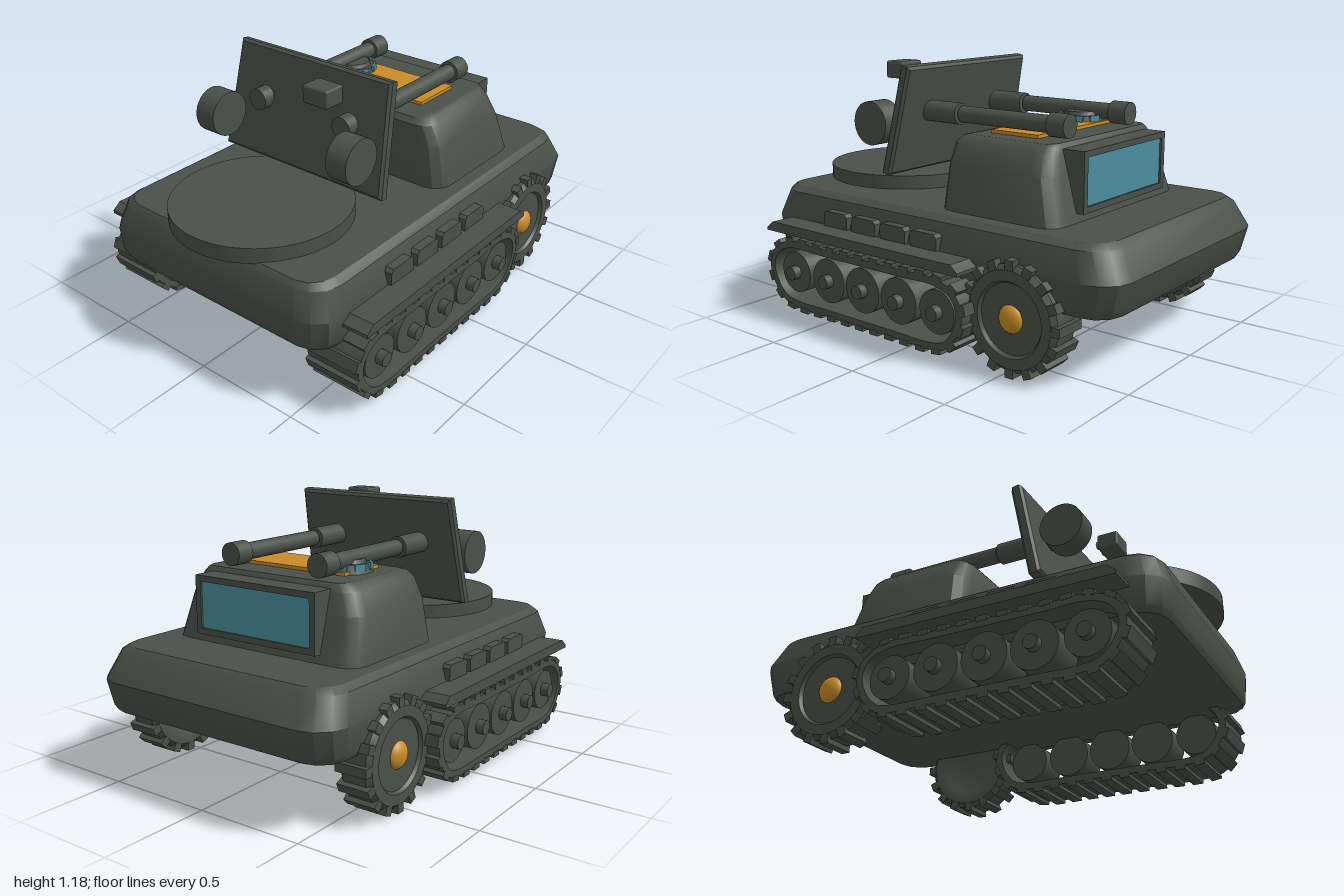
import * as THREE from 'three';
import { toCreasedNormals } from 'three/addons/utils/BufferGeometryUtils.js';
import { RoundedBoxGeometry } from 'three/addons/geometries/RoundedBoxGeometry.js';

export function createModel() {
  const model = new THREE.Group();
  const paint = (name, color) => {
    const m = new THREE.MeshStandardMaterial({ color });
    m.name = name;
    return m;
  };
  const armour = paint('dark armour', 0x4a5049);
  const amber = paint('amber', 0xc88c26);
  const glass = paint('blue glass', 0x4a8f9f);

  const add = (name, geo, mat, x = 0, y = 0, z = 0, parent = model) => {
    const mesh = new THREE.Mesh(geo, mat);
    mesh.name = name;
    mesh.position.set(x, y, z);
    parent.add(mesh);
    return mesh;
  };
  const box = (w, h, d) => new THREE.BoxGeometry(w, h, d);
  const cylX = (r, len, seg = 24) => new THREE.CylinderGeometry(r, r, len, seg).rotateZ(Math.PI / 2);
  const cylZ = (r, len, seg = 24) => new THREE.CylinderGeometry(r, r, len, seg).rotateX(Math.PI / 2);

  // Solid through stacked rounded rectangles: [y, halfWidth, zBack, zFront, cornerRadius]
  const loft = (sections, steps = 3) => {
    const pos = [], index = [], n = 4 * (steps + 1);
    for (const [y, hx, z0, z1, r] of sections) {
      [[hx - r, z1 - r], [r - hx, z1 - r], [r - hx, z0 + r], [hx - r, z0 + r]].forEach(([cx, cz], q) => {
        for (let i = 0; i <= steps; i++) {
          const a = (q + i / steps) * Math.PI / 2;
          pos.push(cx + r * Math.cos(a), y, cz + r * Math.sin(a));
        }
      });
    }
    const last = sections.length - 1;
    for (let s = 0; s < last; s++) {
      for (let i = 0; i < n; i++) {
        const a = s * n + i, b = s * n + (i + 1) % n;
        index.push(a, a + n, b, b, a + n, b + n);
      }
    }
    for (let i = 1; i < n - 1; i++) {
      index.push(0, i, i + 1);
      index.push(last * n, last * n + i + 1, last * n + i);
    }
    const g = new THREE.BufferGeometry();
    g.setAttribute('position', new THREE.Float32BufferAttribute(pos, 3));
    g.setIndex(index);
    return toCreasedNormals(g, 0.5);
  };

  // Hull, cabin and front turntable
  add('hull', loft([
    [0.305, 0.605, -0.955, 0.93, 0.12], [0.33, 0.62, -0.97, 0.945, 0.13],
    [0.45, 0.633, -1.0, 0.957, 0.14], [0.565, 0.595, -0.935, 0.92, 0.13],
    [0.588, 0.56, -0.905, 0.9, 0.11],
  ]), armour);
  add('cabin', loft([
    [0.58, 0.5, -0.64, -0.012, 0.09], [0.78, 0.465, -0.585, -0.018, 0.09],
    [0.87, 0.42, -0.56, -0.024, 0.08], [0.895, 0.395, -0.55, -0.045, 0.07],
    [0.905, 0.375, -0.54, -0.09, 0.05],
  ]), armour);
  add('turntable', new THREE.CylinderGeometry(0.4, 0.4, 0.07, 64), armour, 0, 0.617, 0.6);

  // Rear window
  const rect = (P, w, h) => new P([[-w, -h], [w, -h], [w, h], [-w, h]].map(p => new THREE.Vector2(...p)));
  const frame = rect(THREE.Shape, 0.325, 0.13);
  frame.holes.push(rect(THREE.Path, 0.297, 0.103));
  add('windowFrame', new THREE.ExtrudeGeometry(frame, { depth: 0.105, bevelEnabled: false }), armour, 0, 0.755, -0.663);
  add('windowGlass', box(0.6, 0.21, 0.008), glass, 0, 0.755, -0.65);

  // Roof panel and hatch with vision blocks
  add('roofPanel', box(0.57, 0.02, 0.25), amber, 0.003, 0.91, -0.278);
  const hatch = new THREE.Group();
  hatch.name = 'hatch';
  hatch.position.set(-0.212, 0.9, -0.288);
  model.add(hatch);
  add('hatchBase', new THREE.CylinderGeometry(0.1, 0.116, 0.045, 12), armour, 0, 0.022, 0, hatch);
  add('hatchLid', new THREE.CylinderGeometry(0.075, 0.085, 0.02, 12), armour, 0, 0.052, 0, hatch);
  for (let i = 0; i < 8; i++) {
    const a = i * Math.PI / 4 + 0.39;
    const block = add('visionBlock', box(0.05, 0.03, 0.012), glass, Math.sin(a) * 0.103, 0.033, Math.cos(a) * 0.103, hatch);
    block.rotation.y = a;
  }

  // Sloping gun shield
  const plate = new THREE.Shape([[-0.44, -0.24], [0.44, -0.24], [0.41, 0.24], [-0.41, 0.24]].map(p => new THREE.Vector2(...p)));
  const shieldGeo = new THREE.ExtrudeGeometry(plate, { depth: 0.032, bevelSize: 0.012, bevelThickness: 0.012, bevelSegments: 1 });
  add('gunShield', shieldGeo.translate(0, 0, -0.016), armour, 0, 0.932, 0.284).rotation.x = -0.21;

  // Sight with two lenses
  add('sight', new RoundedBoxGeometry(0.132, 0.08, 0.105, 2, 0.01), armour, 0.211, 1.14, 0.438);
  for (const dx of [-0.032, 0.032]) add('sightLens', cylZ(0.02, 0.016, 16), glass, 0.211 + dx, 1.14, 0.38);

  // Track outline as (z, y)
  const trackCurve = new THREE.CatmullRomCurve3([
    [0.7, 0.365], [0.8, 0.325], [0.848, 0.24], [0.82, 0.14], [0.75, 0.07], [0.66, 0.05], [0.45, 0.05],
    [0.03, 0.05], [-0.17, 0.05], [-0.26, 0.07], [-0.325, 0.14], [-0.352, 0.24], [-0.31, 0.325],
    [-0.21, 0.365], [0, 0.365], [0.5, 0.365],
  ].map(([z, y]) => new THREE.Vector3(0, y, z)), true);
  // Outward normal along the clockwise loop
  const outward = t => {
    const d = trackCurve.getTangentAt(t);
    return new THREE.Vector3(0, -d.z, d.y).multiplyScalar(-1);
  };
  const beltLine = inset => Array.from({ length: 72 }, (_, i) => {
    const p = trackCurve.getPointAt(i / 72).addScaledVector(outward(i / 72), -inset);
    return new THREE.Vector2(-p.z, p.y);
  });
  const sign = outward(0).y > 0 ? 1 : -1;
  const beltShape = new THREE.Shape(beltLine(0));
  beltShape.holes.push(new THREE.Path(beltLine(0.032 * sign)));
  const beltGeo = toCreasedNormals(
    new THREE.ExtrudeGeometry(beltShape, { depth: 0.26, bevelEnabled: false }).translate(0, 0, -0.13).rotateY(Math.PI / 2), 0.6);

  // Fender and stowage box outlines as (-z, y), extruded along x
  const slab = (pts, width) => new THREE.ExtrudeGeometry(new THREE.Shape(pts.map(p => new THREE.Vector2(...p))),
    { depth: width, bevelEnabled: false }).translate(0, 0, -width / 2).rotateY(Math.PI / 2);
  const fenderGeo = slab([[-0.825, 0.405], [0.35, 0.405], [0.35, 0.42], [0.315, 0.45], [-0.785, 0.45], [-0.825, 0.42]], 0.15);
  const stowGeo = slab([[-0.075, 0], [0.075, 0], [0.075, 0.055], [0.06, 0.07], [-0.06, 0.07], [-0.075, 0.055]], 0.05);

  // Tyre profile as (radius, x), with a recessed wheel disc
  const tyreGeo = toCreasedNormals(new THREE.LatheGeometry([
    [0, -0.07], [0.15, -0.07], [0.16, -0.075], [0.205, -0.075], [0.225, -0.055],
    [0.225, 0.055], [0.205, 0.075], [0.16, 0.075], [0.15, 0.06], [0, 0.06],
  ].map(p => new THREE.Vector2(...p)), 36), 0.5);

  for (const s of [1, -1]) {
    const side = new THREE.Group();
    side.name = s > 0 ? 'leftSide' : 'rightSide';
    model.add(side);

    // Gun, barrel sleeve and drum
    add('barrel', cylZ(0.038, 0.5), armour, s * 0.238, 0.963, -0.2, side);
    add('barrelSleeve', cylZ(0.049, 0.3), armour, s * 0.238, 0.963, 0.21, side);
    add('muzzle', cylZ(0.052, 0.09), armour, s * 0.238, 0.963, -0.487, side);
    add('drum', cylX(0.102, 0.105, 32), armour, s * 0.373, 0.904, 0.455, side);

    // Track belt with cleats
    add('trackBelt', beltGeo, armour, s * 0.595, 0, 0, side);
    for (let i = 0; i < 30; i++) {
      const t = i / 30, p = trackCurve.getPointAt(t), n = outward(t).multiplyScalar(sign);
      const cleat = add('trackCleat', box(0.264, 0.024, 0.05), armour, s * 0.595, p.y + n.y * 0.005, p.z + n.z * 0.005, side);
      cleat.rotation.x = Math.atan2(n.z, n.y);
    }

    // Road wheels
    for (let i = 0; i < 5; i++) {
      const z = 0.684 - i * 0.2205;
      add('roadWheel', cylX(i % 4 ? 0.104 : 0.097, 0.17), armour, s * 0.62, 0.214, z, side);
      add('roadWheelHub', cylX(0.032, 0.06, 16), armour, s * 0.712, 0.214, z, side);
    }

    // Rear wheel with cleats and amber hub
    const wheel = new THREE.Group();
    wheel.name = 'rearWheel';
    wheel.position.set(s * 0.59, 0.246, -0.543);
    side.add(wheel);
    add('tyre', tyreGeo, armour, 0, 0, 0, wheel).rotation.z = -s * Math.PI / 2;
    for (let i = 0; i < 16; i++) {
      const a = i * Math.PI / 8;
      add('tyreCleat', box(0.15, 0.04, 0.04), armour, 0, Math.cos(a) * 0.225, Math.sin(a) * 0.225, wheel).rotation.x = a;
    }
    add('wheelHub', new THREE.SphereGeometry(0.06, 24, 16).scale(0.6, 1, 1), amber, s * 0.054, 0, 0, wheel);

    // Fender and stowage boxes
    add('fender', fenderGeo, armour, s * 0.675, 0, 0, side);
    for (let i = 0; i < 4; i++) add('stowageBox', stowGeo, armour, s * 0.625, 0.452, 0.465 - i * 0.18, side);
  }
  return model;
}
